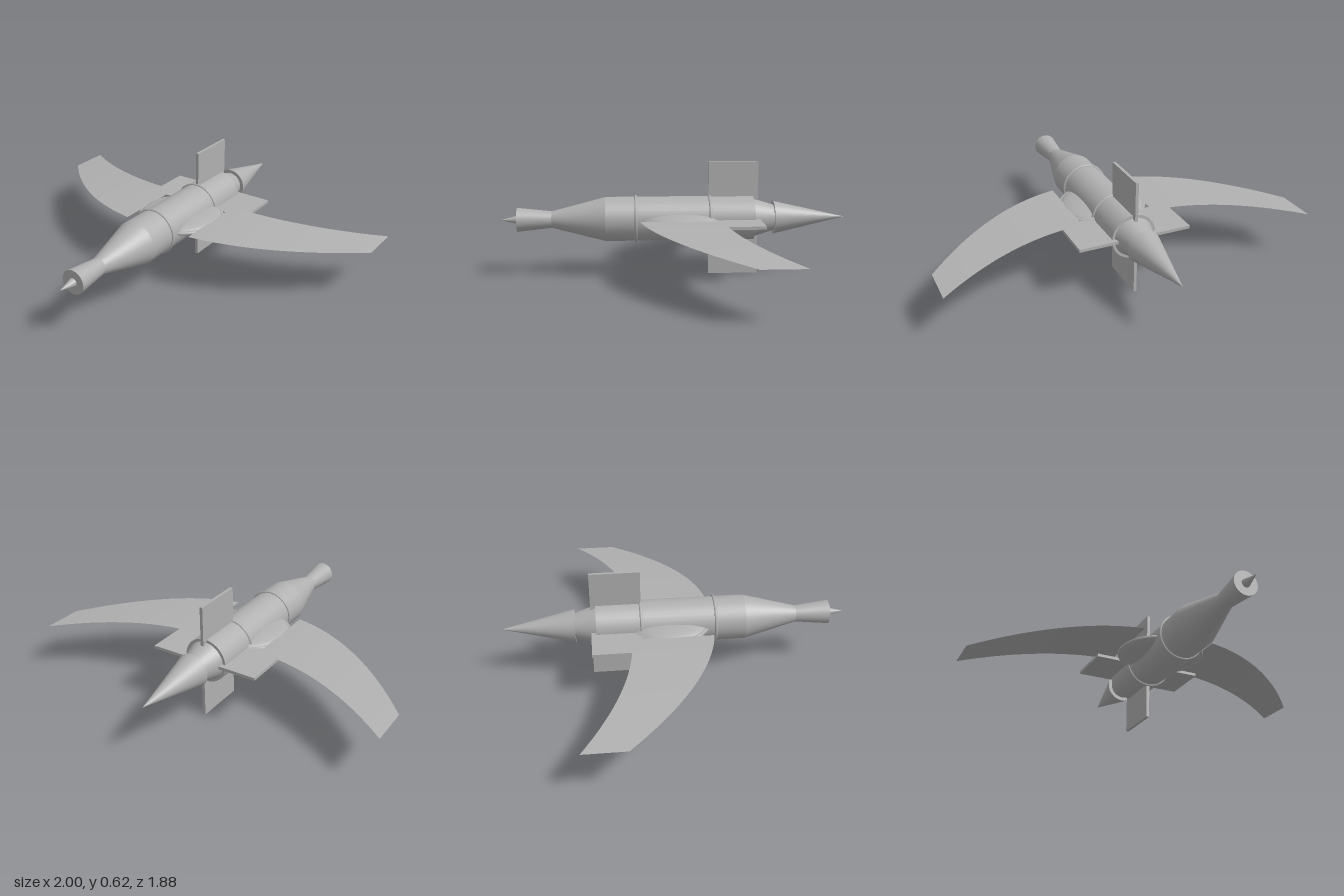
import * as THREE from 'three';

const AXIS = 0.31; // height of the fuselage centreline
const SIDES = 32;

export function createModel() {
  const model = new THREE.Group();
  const grey = new THREE.MeshStandardMaterial({ color: 0xb0b0b0 });
  grey.name = 'hullGrey';
  grey.side = THREE.DoubleSide;

  const add = (name, geometry, x = 0, y = AXIS, z = 0) => {
    const mesh = new THREE.Mesh(geometry, grey);
    mesh.name = name;
    mesh.position.set(x, y, z);
    model.add(mesh);
    return mesh;
  };

  // Round section along z, from the front end to the back end
  const section = (name, zFront, rFront, zBack, rBack) => {
    const g = new THREE.CylinderGeometry(rFront, rBack, zFront - zBack, SIDES);
    g.rotateX(Math.PI / 2);
    add(name, g, 0, AXIS, (zFront + zBack) / 2);
  };

  // Fuselage
  section('noseSpike', 0.935, 0, 0.845, 0.023);
  section('noseFlare', 0.845, 0.065, 0.66, 0.045);
  section('noseTaper', 0.66, 0.045, 0.37, 0.12);
  section('body', 0.37, 0.12, -0.433, 0.12);
  section('tailCollar', -0.433, 0.105, -0.545, 0.07);
  section('tailCone', -0.545, 0.09, -0.94, 0);

  // Bands around the body
  for (const z of [0.207, -0.193]) {
    add('bodyBand', new THREE.TorusGeometry(0.121, 0.008, 10, 40), 0, AXIS, z);
  }

  // Flat disc through the body, with a rim
  const disc = new THREE.SphereGeometry(1, 40, 20);
  disc.scale(0.226, 0.046, 0.226);
  add('disc', disc, 0, AXIS, -0.037);
  const rim = new THREE.TorusGeometry(0.224, 0.011, 10, 48);
  rim.rotateX(Math.PI / 2);
  add('discRim', rim, 0, AXIS, -0.037);

  // Crossed tail fins
  add('verticalFin', new THREE.BoxGeometry(0.016, 0.62, 0.27), 0, AXIS, -0.325);
  add('horizontalFin', new THREE.BoxGeometry(0.612, 0.016, 0.27), 0, AXIS, -0.325);

  // Swept, drooping sheet wings
  for (const side of [1, -1]) {
    const wing = new THREE.PlaneGeometry(1, 1, 20, 4);
    const p = wing.attributes.position;
    for (let i = 0; i < p.count; i++) {
      const along = p.getX(i) + 0.5;
      const t = side > 0 ? along : 1 - along;
      const chord = 0.5 - p.getY(i); // 0 trailing edge, 1 leading edge
      const trailing = -0.25 - 0.28 * t * t;
      const leading = 0.185 - 0.12 * t - 0.375 * t * t;
      p.setXYZ(i, side * (0.2 + 0.8 * t), 0.328 - 0.06 * Math.pow(t, 1.7),
        THREE.MathUtils.lerp(trailing, leading, chord));
    }
    wing.computeVertexNormals();
    add(side > 0 ? 'leftWing' : 'rightWing', wing, 0, 0, 0);
  }

  return model;
}
